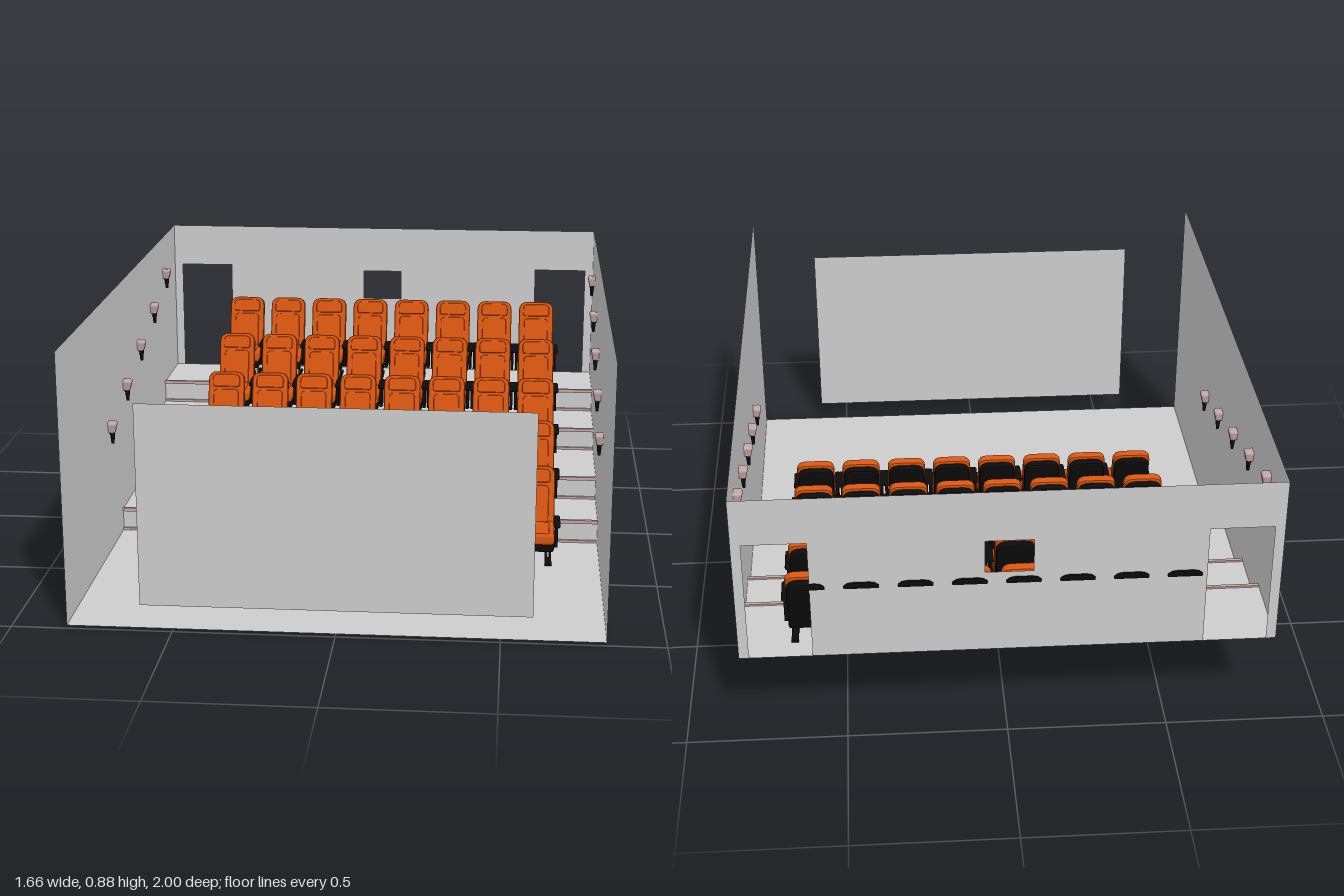
import * as THREE from 'three';
import { RoundedBoxGeometry } from 'three/addons/geometries/RoundedBoxGeometry.js';

const grey = new THREE.MeshStandardMaterial({ color: 0xcccccc, side: THREE.DoubleSide });
grey.name = 'wallGrey';
const orange = new THREE.MeshStandardMaterial({ color: 0xd85510 });
orange.name = 'seatOrange';
const black = new THREE.MeshStandardMaterial({ color: 0x0c0c0c });
black.name = 'frameBlack';
const pink = new THREE.MeshStandardMaterial({ color: 0xc2a6a4 });
pink.name = 'trimPink';

// Room limits; each tread is [front z, back z, height]
const X0 = -0.826, X1 = 0.819, TOP = 0.875, FRONT = 1, BACK = -0.996;
const TREADS = [
  [FRONT, 0.13, 0.01], [0.13, -0.115, 0.085], [-0.115, -0.46, 0.16],
  [-0.46, -0.72, 0.235], [-0.72, BACK, 0.312],
];

function add(parent, name, geometry, material, x = 0, y = 0, z = 0) {
  const mesh = new THREE.Mesh(geometry, material);
  mesh.name = name;
  mesh.position.set(x, y, z);
  parent.add(mesh);
  return mesh;
}

function box(w, h, d) { return new THREE.BoxGeometry(w, h, d); }

function rect(Type, x0, y0, x1, y1) {
  const s = new Type();
  s.moveTo(x0, y0); s.lineTo(x1, y0); s.lineTo(x1, y1); s.lineTo(x0, y1); s.closePath();
  return s;
}

// Bevelled slab with rounded top corners, from y = 0 up, its back at z = 0
function slab(w, h, r, depth, bevel) {
  const a = w / 2 - bevel, b = bevel, t = h - bevel, q = r * 0.35;
  const s = new THREE.Shape();
  s.moveTo(-a + q, b); s.lineTo(a - q, b); s.quadraticCurveTo(a, b, a, b + q);
  s.lineTo(a, t - r); s.quadraticCurveTo(a, t, a - r, t);
  s.lineTo(-a + r, t); s.quadraticCurveTo(-a, t, -a, t - r);
  s.lineTo(-a, b + q); s.quadraticCurveTo(-a, b, -a + q, b);
  const g = new THREE.ExtrudeGeometry(s, {
    depth: depth - 2 * bevel, bevelEnabled: true, bevelSize: bevel,
    bevelThickness: bevel, bevelSegments: 2, curveSegments: 4,
  });
  return g.translate(0, 0, bevel);
}

function buildRoom(room) {
  const width = X1 - X0, mid = (X0 + X1) / 2;

  // Stepped floor
  TREADS.forEach(([z0, z1, y], i) => {
    const tread = new THREE.PlaneGeometry(width, z0 - z1).rotateX(-Math.PI / 2);
    add(room, 'tread', tread, grey, mid, y, (z0 + z1) / 2);
    if (i === 0) return;
    const low = TREADS[i - 1][2];
    add(room, 'riser', new THREE.PlaneGeometry(width, y - low), grey, mid, (y + low) / 2, z0);
    // Aisle strips along the top and foot of each step
    for (const x of [X0 + 0.118, X1 - 0.118]) {
      add(room, 'stepNosing', box(0.236, 0.012, 0.012), pink, x, y, z0 + 0.003);
      add(room, 'stepFootStrip', box(0.236, 0.018, 0.01), pink, x, low - 0.001, z0 + 0.003);
    }
  });

  // Side walls follow the steps along their lower edge
  const side = new THREE.Shape();
  side.moveTo(-FRONT, TOP);
  for (const [z0, z1, y] of TREADS) { side.lineTo(-z0, y); side.lineTo(-z1, y); }
  side.lineTo(-BACK, TOP);
  const sideGeometry = new THREE.ShapeGeometry(side).rotateY(Math.PI / 2);
  add(room, 'rightWall', sideGeometry, grey, X0);
  add(room, 'leftWall', sideGeometry, grey, X1);

  // Back wall with two doorways and a projection window
  const floorY = TREADS[4][2], wall = new THREE.Shape();
  const outline = [
    [X0, floorY], [-0.795, floorY], [-0.795, 0.72], [-0.6, 0.72], [-0.6, floorY],
    [0.595, floorY], [0.595, 0.72], [0.788, 0.72], [0.788, floorY],
    [X1, floorY], [X1, TOP], [X0, TOP],
  ];
  wall.setFromPoints(outline.map(([x, y]) => new THREE.Vector2(x, y)));
  wall.holes.push(rect(THREE.Path, -0.076, 0.595, 0.07, 0.705));
  add(room, 'backWall', new THREE.ShapeGeometry(wall), grey, 0, 0, BACK);

  add(room, 'screen', new THREE.ShapeGeometry(rect(THREE.Shape, -0.6, 0.08, 0.597, 0.72)), grey, 0, 0, 0.99);
}

// Wall lamps: a chamfered shade over a dark tapered holder
function buildLamps(room) {
  const shade = new RoundedBoxGeometry(0.038, 0.038, 0.038, 2, 0.008);
  const p = shade.attributes.position;
  for (let i = 0; i < p.count; i++) {
    if (p.getY(i) < -0.008) { p.setX(i, p.getX(i) * 0.75); p.setZ(i, p.getZ(i) * 0.75); }
  }
  shade.computeVertexNormals();
  const holder = new THREE.CylinderGeometry(0.009, 0.005, 0.038, 10);
  for (const x of [-0.817, 0.81]) {
    for (let i = 0; i < 5; i++) {
      const lamp = new THREE.Group();
      lamp.name = 'wallLamp';
      lamp.position.set(x, 0.437 + 0.0745 * i, 0.31 - 0.2635 * i);
      add(lamp, 'lampShade', shade, pink);
      add(lamp, 'lampHolder', holder, black, -Math.sign(x) * 0.003, -0.037, 0);
      room.add(lamp);
    }
  }
}

// One seat: front edge at z = 0, standing on y = 0
function buildSeat() {
  const seat = new THREE.Group();
  seat.name = 'seat';

  // Base and cushion
  add(seat, 'seatPan', new RoundedBoxGeometry(0.13, 0.03, 0.14, 2, 0.008), black, 0, 0.06, -0.074);
  add(seat, 'seatCushion', new RoundedBoxGeometry(0.132, 0.04, 0.145, 2, 0.012), orange, 0, 0.09, -0.0725);
  add(seat, 'seatPad', new RoundedBoxGeometry(0.098, 0.014, 0.105, 2, 0.006), orange, 0, 0.109, -0.062);

  // Reclined backrest with shell, bolster frame, lumbar pad and headrest
  const back = new THREE.Group();
  back.name = 'backrest';
  back.position.set(0, 0.085, -0.127);
  back.rotation.x = -0.28;
  add(back, 'backShell', slab(0.126, 0.206, 0.03, 0.03, 0.008), black, 0, -0.006, -0.05);
  add(back, 'backFrame', slab(0.133, 0.212, 0.026, 0.028, 0.007), orange, 0, 0, -0.028);
  add(back, 'lumbarPad', slab(0.092, 0.125, 0.012, 0.014, 0.004), orange, 0, 0.022, -0.007);
  add(back, 'headrest', slab(0.1, 0.046, 0.014, 0.016, 0.005), orange, 0, 0.156, -0.008);
  seat.add(back);

  for (const s of [-1, 1]) {
    // Armrest with its side panel
    add(seat, 'armPad', new RoundedBoxGeometry(0.022, 0.016, 0.095, 2, 0.006), black, s * 0.074, 0.132, -0.066);
    add(seat, 'armPanel', box(0.011, 0.078, 0.07), black, s * 0.0725, 0.09, -0.075);
    // Leg and foot bar
    add(seat, 'leg', box(0.008, 0.05, 0.03), pink, s * 0.047, 0.025, -0.075);
    add(seat, 'footBar', box(0.022, 0.013, 0.153), black, s * 0.047, 0.0025, -0.0765);
  }
  return seat;
}

export function createModel() {
  const model = new THREE.Group();
  model.name = 'cinemaHall';
  buildRoom(model);
  buildLamps(model);

  // Five rows of eight seats, one row per tread
  const seat = buildSeat();
  for (let row = 0; row < 5; row++) {
    for (let i = 0; i < 8; i++) {
      const copy = seat.clone();
      copy.position.set(-0.533 + 0.1622 * i, TREADS[row][2], 0.369 - 0.2853 * row);
      model.add(copy);
    }
  }
  return model;
}
